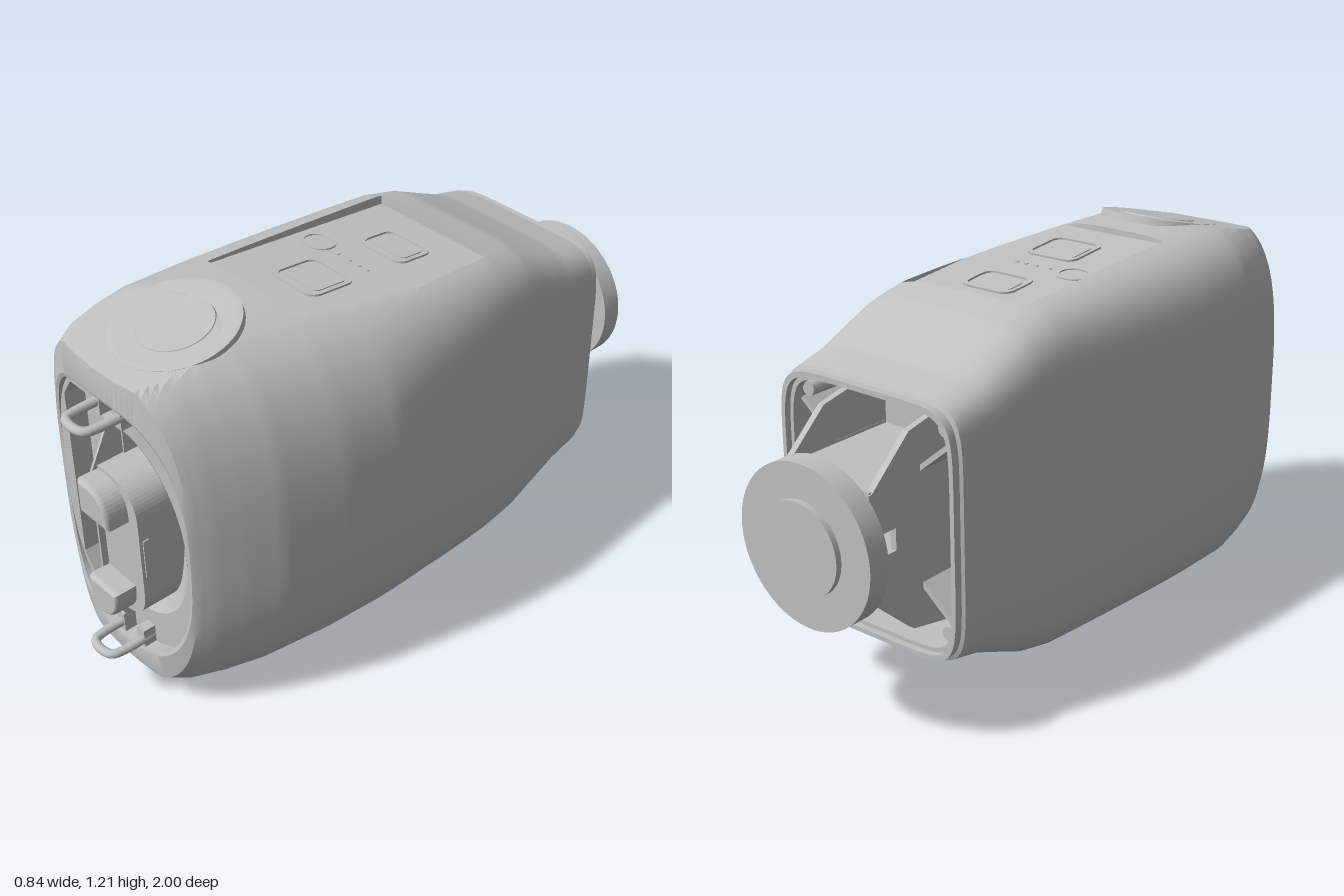
import * as THREE from 'three';
import { toCreasedNormals, mergeVertices } from 'three/addons/utils/BufferGeometryUtils.js';

const MID = 0.61; // height of the horizontal symmetry plane
const grey = new THREE.MeshStandardMaterial({ color: 0xc0c0c0, side: THREE.DoubleSide });
grey.name = 'light grey';

// Outer shell sections, rear to front:
// z, min x, max x, half height, roundness on the +x side, on the -x side, forward bulge
const SHELL = [
  [-0.71, -0.345, 0.305, 0.382, 7, 7, 0],
  [-0.6, -0.35, 0.315, 0.41, 6.5, 6.5, 0],
  [-0.5, -0.357, 0.325, 0.455, 6, 6, 0],
  [-0.4, -0.365, 0.337, 0.502, 5.4, 5.5, 0],
  [-0.28, -0.373, 0.352, 0.536, 4.5, 5, 0],
  [0, -0.396, 0.388, 0.555, 3.4, 4.6, 0],
  [0.22, -0.413, 0.419, 0.569, 2.75, 4.3, 0],
  [0.4, -0.421, 0.4, 0.577, 2.75, 4.1, 0],
  [0.6, -0.416, 0.353, 0.586, 2.8, 3.9, 0],
  [0.7, -0.4, 0.312, 0.585, 2.8, 3.6, 0.01],
  [0.78, -0.385, 0.276, 0.57, 2.8, 3.4, 0.03],
  [0.83, -0.367, 0.247, 0.54, 2.8, 3.2, 0.045],
  [0.838, -0.358, 0.24, 0.44, 2.8, 3.1, 0.05],
];
// The same section moved to another depth and shrunk all round
const inset = (k, z, d, bulge) => [z, k[1] + d, k[2] - d, k[3] - d, k[4], k[5], bulge];
const centre = z => [z, -0.05, -0.04, 0.01, 4, 4, 0];
const rearRim = SHELL[0], frontRim = SHELL[SHELL.length - 1];
const frontFloor = inset(frontRim, 0.73, 0.011, 0);
// Stepped rear rim with its cavity, and the recessed front opening
const REAR = [
  centre(-0.5),
  ...[[-0.5, 0.035], [-0.72, 0.035], [-0.72, 0.023], [-0.74, 0.023], [-0.74, 0.009], [-0.715, 0.009]]
    .map(([z, d]) => inset(rearRim, z, d, 0)),
];
const FRONT = [inset(frontRim, 0.835, 0.011, 0.05), frontFloor, centre(0.73)];

const PANEL = { x0: -0.22, x1: 0.235, z0: -0.3, z1: 0.375 };
const panelFloor = z => 1.134 + 0.09 * z;

// One closed outline; point pairs at the panel edges let its walls stand upright
function section([z, x0, x1, h, nL, nR, bulge], shell) {
  const cx = (x0 + x1) / 2, w = (x1 - x0) / 2;
  const edge = (x, n) => {
    const u = THREE.MathUtils.clamp((x - cx) / w, -0.95, 0.95);
    return Math.atan2((1 - Math.abs(u) ** n) ** (1 / n), u);
  };
  const a = [0, edge(PANEL.x1, nL), edge(PANEL.x0, nR), Math.PI * 2], count = [26, 26, 120];
  const inZ = shell && z > PANEL.z0 && z < PANEL.z1, out = [];
  for (let k = 0; k < 3; k++) for (let i = 0; i <= count[k]; i++) {
    const t = a[k] + (a[k + 1] - a[k]) * i / count[k], c = Math.cos(t), s = Math.sin(t);
    const n = c > 0 ? nL : nR, r = (Math.abs(c) ** n + Math.abs(s) ** n) ** (-1 / n);
    const u = r * c, zz = z + bulge * (1 - u * u);
    let v = h * r * s;
    if (shell) {
      const facet = 1.182 - 0.22 * (zz - 0.6) - MID; // sloping facets under the round caps
      v = THREE.MathUtils.clamp(v, -facet, facet);
    }
    if (inZ && k === 1) v = Math.min(v, panelFloor(z) - MID);
    out.push([cx + w * u, MID + v, zz]);
  }
  return out;
}

function shellGeometry() {
  const rings = REAR.map(k => section(k, false));
  for (let k = 0; k < SHELL.length - 1; k++) {
    const A = SHELL[k], B = SHELL[k + 1], span = B[0] - A[0], ts = [];
    const steps = Math.ceil(span / 0.02);
    for (let i = 0; i < steps; i++) ts.push(i / steps);
    for (const e of [PANEL.z0, PANEL.z1]) for (const d of [-0.0005, 0.0005]) {
      const t = (e + d - A[0]) / span;
      if (t > 0 && t < 1) ts.push(t);
    }
    ts.sort((p, q) => p - q);
    for (const t of ts) rings.push(section(A.map((v, i) => v + (B[i] - v) * t), true));
  }
  rings.push(section(frontRim, true), ...FRONT.map(k => section(k, false)));
  const m = rings[0].length, index = [];
  for (let i = 0; i < rings.length - 1; i++) for (let j = 0; j < m; j++) {
    const p = i * m + j, q = i * m + (j + 1) % m;
    index.push(p, q, p + m, q, q + m, p + m);
  }
  const g = new THREE.BufferGeometry();
  g.setAttribute('position', new THREE.Float32BufferAttribute(rings.flat(2), 3));
  g.setIndex(index);
  return toCreasedNormals(mergeVertices(g, 1e-5), 0.45);
}

function mesh(parent, name, geometry, x = 0, y = 0, z = 0) {
  const m = new THREE.Mesh(geometry, grey);
  m.name = name;
  m.position.set(x, y, z);
  parent.add(m);
  return m;
}
const points = pts => pts.map(p => new THREE.Vector2(p[0], p[1]));
const poly = pts => new THREE.Shape(points(pts));
const extrude = (shape, depth) => new THREE.ExtrudeGeometry(shape, { depth, bevelEnabled: false, curveSegments: 16 });
const box = (parent, name, w, h, d, x, y, z) => mesh(parent, name, new THREE.BoxGeometry(w, h, d), x, y, z);

function roundRect(w, h, r) {
  const s = new THREE.Shape(), a = w / 2 - r, b = h / 2 - r;
  [[a, b], [-a, b], [-a, -b], [a, -b]].forEach(([x, y], i) =>
    s.absarc(x, y, r, i * Math.PI / 2, (i + 1) * Math.PI / 2));
  s.closePath();
  return s;
}

export function createModel() {
  const model = new THREE.Group();
  model.name = 'housing';
  mesh(model, 'shell', shellGeometry());

  // Round caps on the sloping top and bottom facets
  const cap = points([[0.187, -0.02], [0.185, 0.001], [0.17, 0.003], [0.113, -0.003], [0.11, 0.003], [0, 0.003]]);
  for (const s of [1, -1]) {
    const c = mesh(model, s > 0 ? 'topCap' : 'bottomCap',
      toCreasedNormals(new THREE.LatheGeometry(cap, 64), 0.3), -0.03, MID + s * 0.564, 0.635);
    c.rotation.x = s > 0 ? 0.2166 : Math.PI - 0.2166;
  }

  // Controls on the sunken top panel
  const panel = new THREE.Group();
  panel.name = 'controlPanel';
  panel.position.y = panelFloor(0);
  panel.rotation.x = -0.09;
  model.add(panel);
  for (const [z, d] of [[-0.13, 0.14], [0.19, 0.17]]) {
    const frame = roundRect(0.185, d, 0.035);
    frame.holes.push(roundRect(0.16, d - 0.025, 0.028));
    mesh(panel, 'buttonFrame', extrude(frame, 0.006).rotateX(-Math.PI / 2), 0.015, 0, z);
    mesh(panel, 'button', extrude(roundRect(0.14, d - 0.05, 0.02), 0.003).rotateX(-Math.PI / 2), 0.015, 0, z - 0.008);
  }
  const oval = roundRect(0.11, 0.09, 0.044);
  oval.holes.push(roundRect(0.09, 0.07, 0.034));
  mesh(panel, 'ovalRing', extrude(oval, 0.004).rotateX(-Math.PI / 2), -0.14, 0, 0.03);
  for (const x of [-0.05, 0, 0.04, 0.075])
    mesh(panel, 'indicator', new THREE.CylinderGeometry(0.007, 0.007, 0.004, 10), x, 0.001, 0.035);

  // Front bulkhead with a half-oval bowl and a window for the slanted plate
  const floor = poly(section(frontFloor, false));
  const hole = new THREE.Path();
  hole.absellipse(-0.03, MID, 0.252, 0.312, -Math.PI / 2, Math.PI / 2, false, 0);
  hole.closePath();
  const plateOutline = [[-0.04, 0.26], [-0.04, 0.96], [-0.265, 0.96], [-0.305, 0.9], [-0.305, 0.32], [-0.265, 0.26]];
  floor.holes.push(hole, new THREE.Path(points(plateOutline)));
  mesh(model, 'frontBulkhead', extrude(floor, 0.105), 0, 0, 0.73);
  const bowl = new THREE.LatheGeometry(points([[0.2, -0.06], [0.25, -0.04], [0.312, 0]]), 40, 0, Math.PI);
  mesh(model, 'bowl', bowl.rotateX(Math.PI / 2).scale(0.81, 1, 1), -0.03, MID, 0.836);

  // Slanted front plate, with clipped outer corners, and its ridge
  const plate = extrude(poly(plateOutline), 0.04);
  const pp = plate.attributes.position;
  for (let i = 0; i < pp.count; i++) pp.setZ(i, pp.getZ(i) + 0.835 + 0.4 * (pp.getX(i) + 0.04));
  plate.computeVertexNormals();
  mesh(model, 'frontPlate', plate);
  const ridge = poly([[-0.8, 0.96], [-0.88, 0.95], [-0.94, 0.83], [-0.94, 0.39], [-0.88, 0.27], [-0.8, 0.26]]);
  mesh(model, 'plateRidge', extrude(ridge, 0.008).rotateY(Math.PI / 2), -0.044);

  // Grip: a rounded block with a raised lobe at each end
  const grip = new THREE.Shape();
  grip.moveTo(-0.04, 0.375);
  grip.lineTo(0.01, 0.375);
  grip.quadraticCurveTo(0.13, 0.375, 0.13, 0.49);
  grip.lineTo(0.13, 0.73);
  grip.quadraticCurveTo(0.13, 0.845, 0.01, 0.845);
  grip.lineTo(-0.04, 0.845);
  grip.closePath();
  mesh(model, 'grip', extrude(grip, 0.19), 0, 0, 0.73);
  box(model, 'gripSlot', 0.006, 0.13, 0.02, 0.131, MID, 0.9);
  for (const s of [1, -1]) {
    const lobe = new THREE.Shape();
    lobe.moveTo(-0.028, MID + s * 0.125);
    lobe.lineTo(0.08, MID + s * 0.125);
    lobe.quadraticCurveTo(0.08, MID + s * 0.215, 0, MID + s * 0.215);
    lobe.lineTo(-0.028, MID + s * 0.215);
    lobe.closePath();
    mesh(model, 'gripLobe', new THREE.ExtrudeGeometry(lobe,
      { depth: 0.055, bevelSize: 0.01, bevelThickness: 0.015, bevelSegments: 4 }), 0, 0, 0.92);

    // Wire loop on two small lugs
    const y = MID + s * 0.4;
    const path = new THREE.CatmullRomCurve3(
      [[-0.08, 0.82], [-0.08, 0.94], [-0.07, 0.975], [-0.03, 0.986], [0.01, 0.975], [0.02, 0.94], [0.02, 0.82]]
        .map(p => new THREE.Vector3(p[0], y, p[1])));
    mesh(model, 'wireLoop', new THREE.TubeGeometry(path, 40, 0.014, 12));
    for (const x of [-0.082, 0.015]) box(model, 'loopLug', 0.034, 0.075, 0.06, x, y, 0.845);
  }

  // Rear bracket: gusset webs with a window, joined by two shelves
  const web = poly([[0.5, 0.95], [0.74, 0.9], [0.89, 0.765], [0.89, 0.455], [0.74, 0.32], [0.5, 0.27]]);
  web.holes.push(new THREE.Path(points([[0.8, 0.58], [0.865, 0.58], [0.865, 0.645], [0.8, 0.645]])));
  for (const x of [-0.185, 0.125])
    mesh(model, 'bracketWeb', extrude(web, 0.02).rotateY(Math.PI / 2), x);
  for (const s of [1, -1]) {
    box(model, 'bracketShelf', 0.32, 0.02, 0.39, -0.02, MID + s * 0.155, -0.695);
    // Slanted ribs and screw bosses towards the corners of the cavity
    for (const side of [1, -1]) {
      const rib = box(model, 'cornerRib', 0.16, 0.014, 0.2, -0.025 + side * 0.215, MID + s * 0.22, -0.6);
      rib.rotation.z = s * side * 0.7;
      const boss = mesh(model, 'screwBoss', new THREE.CylinderGeometry(0.022, 0.022, 0.19, 16),
        -0.02 + side * 0.25, MID + s * 0.3, -0.6);
      boss.rotation.x = Math.PI / 2;
    }
  }
  box(model, 'bracketEnd', 0.33, 0.32, 0.015, -0.02, MID, -0.888);

  // Rear disc and hub
  const disc = mesh(model, 'rearDisc', new THREE.CylinderGeometry(0.238, 0.238, 0.068, 72), -0.027, MID, -0.948);
  const hub = mesh(model, 'rearHub', new THREE.CylinderGeometry(0.136, 0.136, 0.12, 56), -0.027, MID, -0.94);
  disc.rotation.x = hub.rotation.x = Math.PI / 2;
  return model;
}
